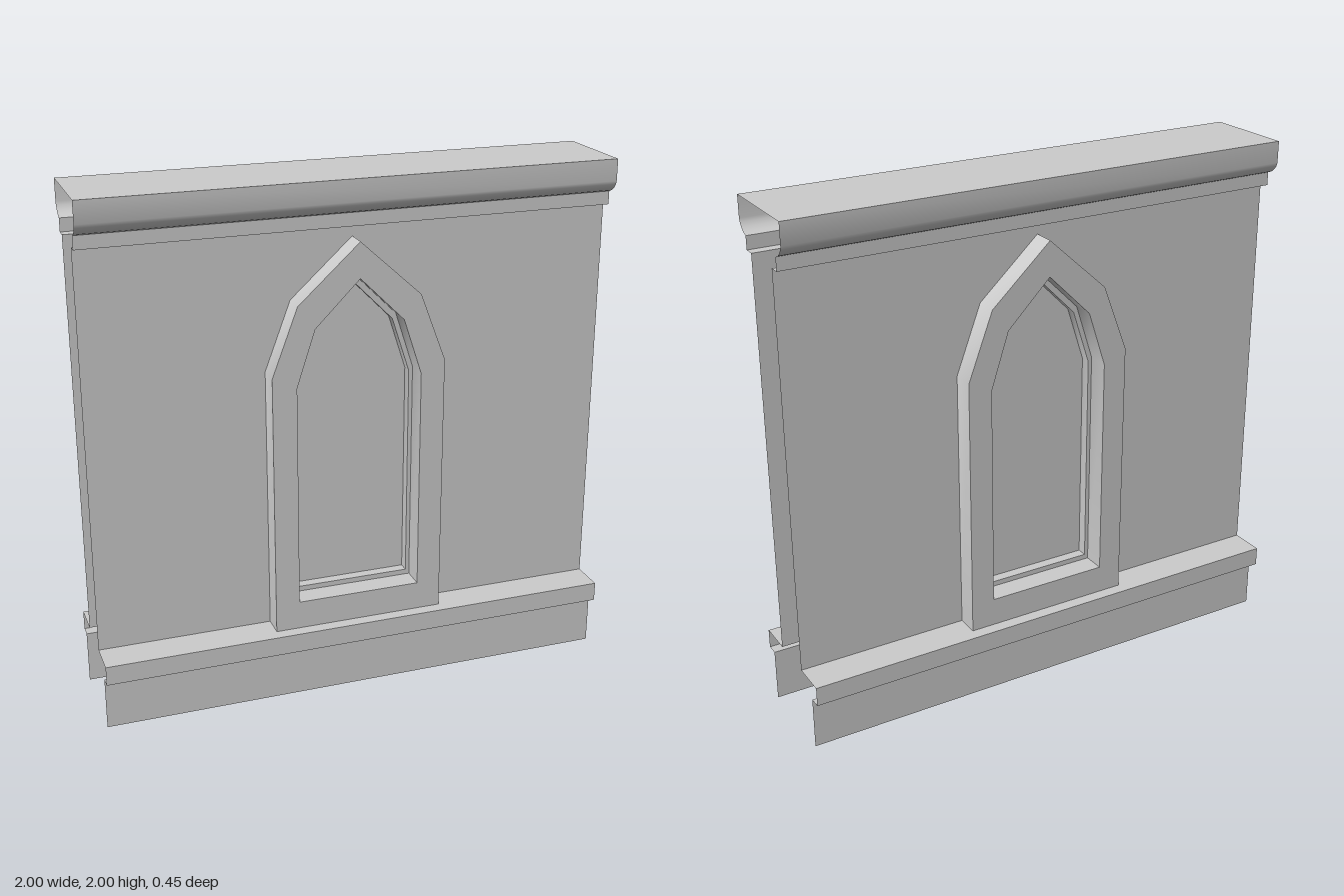
import * as THREE from 'three';
import { toCreasedNormals } from 'three/addons/utils/BufferGeometryUtils.js';

const material = new THREE.MeshStandardMaterial({ color: 0xcccccc, side: THREE.DoubleSide });
const WALL_Z = 0.09, HALF_LENGTH = 1;

// Joins successive cross-sections (arrays of [x, y, z]) with quads
function loft(sections, closed) {
  const positions = [];
  for (let s = 0; s < sections.length - 1; s++) {
    const a = sections[s], b = sections[s + 1];
    const count = closed ? a.length : a.length - 1;
    for (let i = 0; i < count; i++) {
      const j = (i + 1) % a.length;
      positions.push(...b[i], ...a[i], ...a[j], ...b[i], ...a[j], ...b[j]);
    }
  }
  const geometry = new THREE.BufferGeometry();
  geometry.setAttribute('position', new THREE.Float32BufferAttribute(positions, 3));
  geometry.computeVertexNormals();
  return toCreasedNormals(geometry, 0.6);
}

// Moulding: a [z, y] profile run along the length of the wall
const moulding = (profile) => loft(
  profile.map(([z, y]) => [[HALF_LENGTH, y, z], [-HALF_LENGTH, y, z]]), false);

// Pointed arch outline, counter-clockwise, mirrored from its right half
function arch(half, peak) {
  const left = half.map(([x, y]) => [-x, y]).reverse();
  return [...half, [0, peak], ...left];
}
const outer = arch([[0.333, 0.28], [0.333, 1.3], [0.235, 1.56]], 1.775);
const inner = arch([[0.24, 0.39], [0.24, 1.255], [0.17, 1.47]], 1.64);
const pane = arch([[0.225, 0.41], [0.225, 1.24], [0.157, 1.45]], 1.61);
const at = (outline, z) => outline.map(([x, y]) => [x, y, z]);
const vectors = (outline) => outline.map(([x, y]) => new THREE.Vector2(x, y));

function addMesh(group, name, geometry) {
  const mesh = new THREE.Mesh(geometry, material);
  mesh.name = name;
  group.add(mesh);
  return mesh;
}

function createSide(name) {
  const side = new THREE.Group();
  side.name = name;

  // Wall sheet with the window opening
  const sheet = new THREE.Shape(vectors([[-1, 0.28], [1, 0.28], [1, 1.82], [-1, 1.82]]));
  sheet.holes.push(new THREE.Path(vectors(inner)));
  addMesh(side, 'wall', new THREE.ShapeGeometry(sheet)).position.z = WALL_Z;

  // Raised frame, stepping back into the recess
  addMesh(side, 'windowFrame', loft([
    at(outer, WALL_Z), at(outer, 0.177), at(inner, 0.177),
    at(inner, WALL_Z), at(pane, WALL_Z), at(pane, 0.05),
  ], true));
  addMesh(side, 'windowPane', new THREE.ShapeGeometry(new THREE.Shape(vectors(pane)))).position.z = 0.05;

  // Cornice: half of the flat top, fascia, curved undercut and lower fillet
  addMesh(side, 'cornice', moulding([
    [0, 2], [0.18, 2], [0.18, 1.918], [0.176, 1.905], [0.165, 1.89],
    [0.15, 1.878], [0.13, 1.87], [0.13, 1.82], [WALL_Z, 1.82],
  ]));

  // Plinth: projecting ledge above a skirt
  addMesh(side, 'plinth', moulding([
    [WALL_Z, 0.28], [0.225, 0.28], [0.225, 0.205], [0.18, 0.205], [0.18, 0],
  ]));
  return side;
}

export function createModel() {
  const model = new THREE.Group();
  model.name = 'windowWall';
  const back = createSide('backSide');
  back.rotation.y = Math.PI;
  model.add(createSide('frontSide'), back);
  return model;
}
